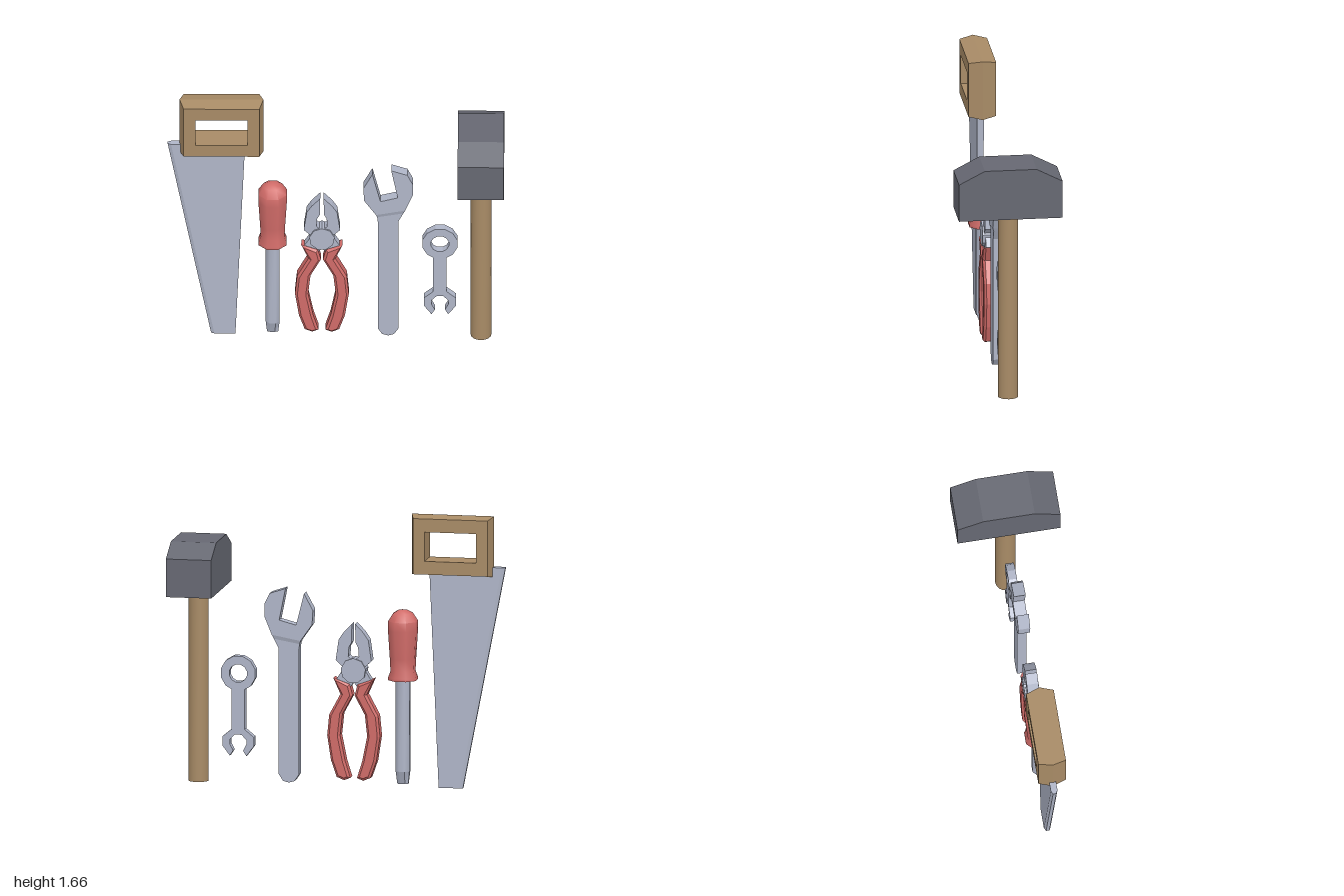
import * as THREE from 'three';
import { toCreasedNormals } from 'three/addons/utils/BufferGeometryUtils.js';

const COLORS = { steel: 0xb0b6c8, iron: 0x666872, wood: 0xa88b66, red: 0xd06b68 };

function part(name, geometry, color, smooth = false) {
  const geo = smooth ? toCreasedNormals(geometry, 0.9) : geometry;
  const mesh = new THREE.Mesh(geo, new THREE.MeshStandardMaterial({ color: COLORS[color], flatShading: !smooth }));
  mesh.name = name;
  return mesh;
}

const toVectors = (pts) => pts.map(([x, y]) => new THREE.Vector2(x, y));
const mirror = (pts, side) => pts.map(([x, y]) => [x * side, y]);

// Outline extruded in z and centred on z = 0, optionally with a chamfer and a hole
function plate(pts, depth, { bevel = 0, hole = null, steps = 1 } = {}) {
  const shape = new THREE.Shape(toVectors(pts));
  if (hole) shape.holes.push(new THREE.Path(toVectors(hole)));
  const core = depth - 2 * bevel;
  return new THREE.ExtrudeGeometry(shape, {
    depth: core, steps, bevelEnabled: bevel > 0, bevelSize: bevel,
    bevelThickness: bevel, bevelOffset: -bevel, bevelSegments: 1,
  }).translate(0, 0, -core / 2);
}

// Move every vertex by a rule
function warp(geo, rule) {
  const p = geo.attributes.position;
  const v = new THREE.Vector3();
  for (let i = 0; i < p.count; i++) {
    v.fromBufferAttribute(p, i);
    rule(v);
    p.setXYZ(i, v.x, v.y, v.z);
  }
  geo.computeVertexNormals();
  return geo;
}

function ring(cx, cy, r, sides, from = 0) {
  return Array.from({ length: sides }, (_, i) => {
    const a = from + (i / sides) * Math.PI * 2;
    return [cx + r * Math.cos(a), cy + r * Math.sin(a)];
  });
}

const rect = (w, h) => [[-w, -h], [w, -h], [w, h], [-w, h]];

function group(name, x, ...meshes) {
  const g = new THREE.Group();
  g.name = name;
  g.position.x = x;
  g.add(...meshes);
  return g;
}

function makeSaw() {
  const blade = plate([[-0.98, 1.35], [-0.722, 0.01], [-0.597, 0.01], [-0.54, 1.35]], 0.04);
  // Cutting edge thins towards the outside
  const edge = warp(plate([[-1, 1.35], [-0.742, 0.01], [-0.722, 0.01], [-0.98, 1.35]], 0.04), (v) => {
    const line = -0.732 - ((v.y - 0.01) / 1.34) * 0.258;
    if (v.x < line) v.z *= 0.5;
  });
  // Handle frame whose outer faces rise to a ridge halfway through
  const grip = warp(plate(rect(0.225, 0.168), 0.166, { hole: rect(0.155, 0.088), steps: 2 }), (v) => {
    if (Math.abs(v.z) < 0.01 && Math.abs(v.x) > 0.2) {
      v.x += Math.sign(v.x) * 0.024;
      v.y += Math.sign(v.y) * 0.015;
    }
  }).translate(-0.68, 1.473, 0);
  const saw = group('saw', 0, part('sawBlade', blade, 'steel'), part('sawEdge', edge, 'steel'), part('sawHandle', grip, 'wood'));
  saw.position.z = -0.007;
  return saw;
}

function makeScrewdriver() {
  const profile = [[0, 0.65], [0.09, 0.65], [0.09, 0.667], [0.076, 0.705], [0.08, 0.78], [0.091, 0.95],
    [0.091, 1.005], [0.06, 1.053], [0.03, 1.07], [0, 1.075]];
  const handle = new THREE.LatheGeometry(toVectors(profile), 8, Math.PI / 8);
  const shaft = new THREE.CylinderGeometry(0.045, 0.045, 0.56, 8, 1, false, Math.PI / 8).translate(0, 0.38, 0);
  // Tip flattens into a chisel
  const tip = warp(new THREE.CylinderGeometry(0.045, 0.045, 0.08, 8, 1, false, Math.PI / 8), (v) => {
    if (v.y < 0) { v.x *= 0.8; v.z *= 0.3; }
  }).translate(0, 0.062, 0);
  return group('screwdriver', -0.376, part('screwdriverHandle', handle, 'red', true),
    part('screwdriverShaft', shaft, 'steel', true), part('screwdriverTip', tip, 'steel'));
}

function makePliers() {
  const grip = [[-0.123, 0.652], [-0.08, 0.556], [-0.148, 0.43], [-0.16, 0.305], [-0.137, 0.155], [-0.102, 0.055],
    [-0.058, 0.037], [-0.02, 0.052], [-0.052, 0.155], [-0.082, 0.305], [-0.068, 0.435], [-0.006, 0.55], [-0.024, 0.617]];
  const jaw = [[-0.01, 0.982], [-0.06, 0.93], [-0.09, 0.885], [-0.108, 0.76], [-0.06, 0.715], [-0.01, 0.715],
    [-0.01, 0.765], [-0.032, 0.785], [-0.028, 0.84], [-0.012, 0.87]];
  const tang = [[-0.07, 0.7], [-0.105, 0.645], [-0.07, 0.6], [-0.02, 0.6], [0, 0.63], [0, 0.7]];
  const pliers = group('pliers', -0.083,
    part('pliersPivot', plate(ring(0, 0.7, 0.076, 9, Math.PI / 2), 0.09), 'steel'));
  for (const side of [1, -1]) {
    const word = side > 0 ? 'right' : 'left';
    pliers.add(
      part(word + 'PliersGrip', plate(mirror(grip, side), 0.09, { bevel: 0.014 }), 'red'),
      part(word + 'PliersJaw', plate(mirror(jaw, side), 0.07), 'steel'),
      part(word + 'PliersTang', plate(mirror(tang, side), 0.055), 'steel'));
  }
  return pliers;
}

function makeLargeWrench() {
  const head = [[0.163, 1.055], [0.217, 1.155], [0.265, 0.963], [0.367, 0.99], [0.329, 1.182], [0.425, 1.15],
    [0.457, 1.085], [0.457, 1.01], [0.412, 0.9], [0.238, 0.868], [0.168, 0.968]];
  const slope = [[0.238, 0.868], [0.412, 0.9], [0.4, 0.875], [0.245, 0.848]];
  const shank = [[0.245, 0.848], [0.4, 0.875], [0.372, 0.82], [0.372, 0.06], [0.345, 0.02], [0.31, 0.01],
    [0.275, 0.02], [0.249, 0.06], [0.249, 0.815]];
  // Sloped step from the thick head to the thinner shank
  const step = warp(plate(slope, 0.072), (v) => {
    if (v.y < 0.86 || (v.x > 0.39 && v.y < 0.89)) v.z *= 0.8;
  });
  return group('largeWrench', 0, part('wrenchHead', plate(head, 0.072), 'steel'),
    part('wrenchStep', step, 'steel'), part('wrenchShank', plate(shank, 0.0576), 'steel'));
}

function makeSmallWrench() {
  const eye = plate(ring(0, 0.658, 0.107, 12, Math.PI / 12), 0.052, { hole: ring(0, 0.658, 0.055, 12, Math.PI / 12) });
  // Right half of the shank and open end, mirrored to close the outline
  const half = [[0.04, 0.575], [0.04, 0.32], [0.095, 0.275], [0.095, 0.22], [0.05, 0.16], [0.03, 0.192],
    [0.05, 0.23], [0.05, 0.258], [0.02, 0.288]];
  const outline = [...half, ...mirror(half, -1).reverse()];
  return group('smallWrench', 0.618, part('wrenchRing', eye, 'steel'), part('wrenchOpenEnd', plate(outline, 0.052), 'steel'));
}

function makeHammer() {
  const side = [[-0.31, 1.155], [0.31, 1.155], [0.31, 1.385], [0.155, 1.465], [-0.155, 1.465], [-0.31, 1.385]];
  const head = plate(side, 0.274).rotateY(Math.PI / 2);
  const handle = new THREE.CylinderGeometry(0.061, 0.061, 1.17, 16).translate(0, 0.585, 0);
  return group('hammer', 0.862, part('hammerHead', head, 'iron'), part('hammerHandle', handle, 'wood', true));
}

export function createModel() {
  const model = new THREE.Group();
  model.name = 'toolSet';
  model.add(makeSaw(), makeScrewdriver(), makePliers(), makeLargeWrench(), makeSmallWrench(), makeHammer());
  return model;
}
